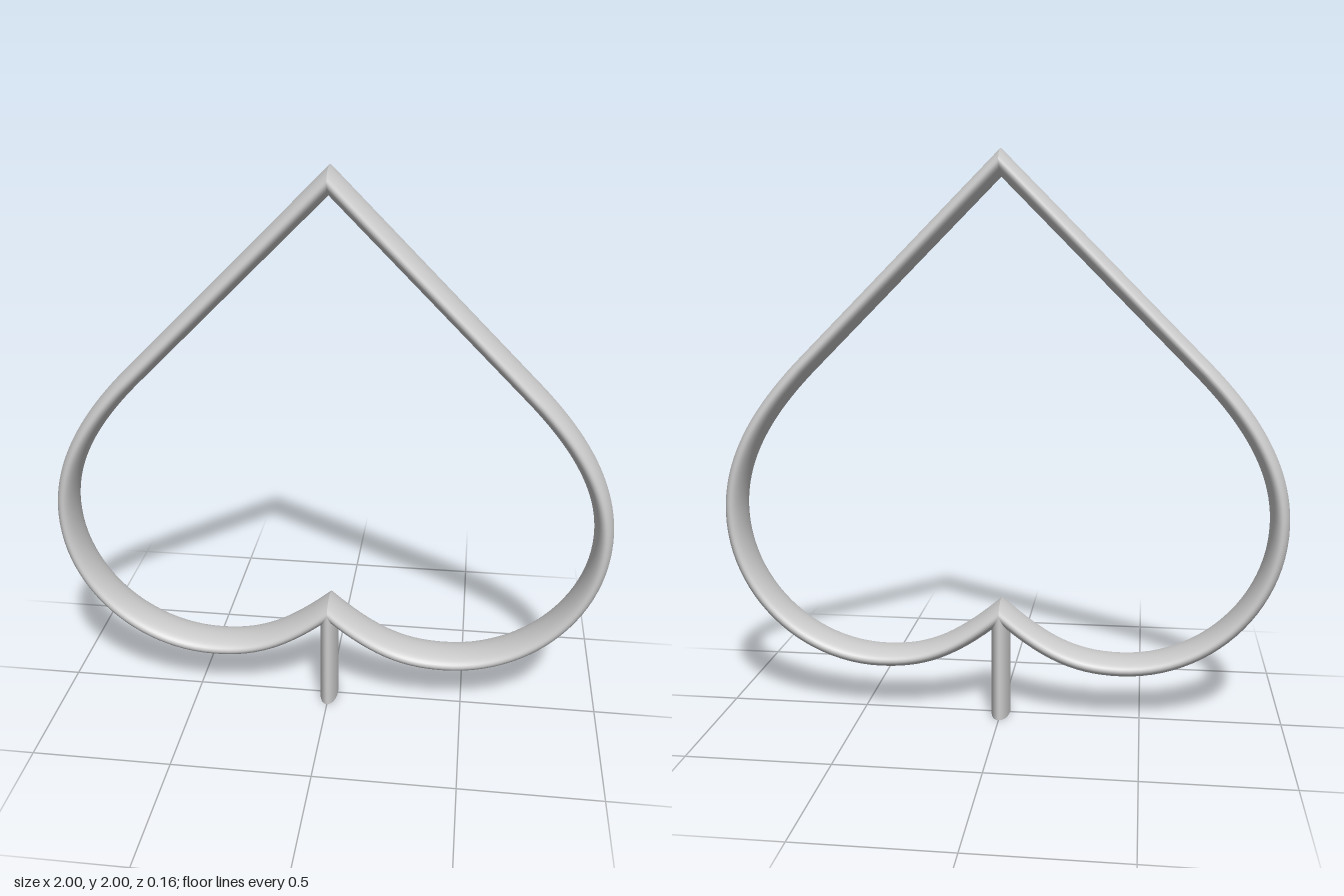
import * as THREE from 'three';

const HALF_WIDTH = 0.033; // half thickness of the band in the x-y plane
const HALF_DEPTH = 0.082; // half thickness of the band along z
const SIDES = 40;

// Centre line of one half of the outline, from lower notch to upper tip
function halfOutline() {
  const v = (x, y) => new THREE.Vector2(x, y);
  const bends = [
    new THREE.CubicBezierCurve(v(0, 0.385), v(0.17, 0.24), v(0.28, 0.2), v(0.43, 0.2)),
    new THREE.CubicBezierCurve(v(0.43, 0.2), v(0.725, 0.2), v(0.967, 0.44), v(0.967, 0.73)),
    new THREE.CubicBezierCurve(v(0.967, 0.73), v(0.967, 0.93), v(0.85, 1.1), v(0.7, 1.253)),
  ];
  const stations = [];
  bends.forEach((curve, k) => {
    const steps = k === 0 ? 14 : 24;
    for (let i = k === 0 ? 0 : 1; i <= steps; i++) {
      stations.push({ p: curve.getPoint(i / steps), t: curve.getTangent(i / steps) });
    }
  });
  // straight run up to the tip
  stations.push({ p: v(0, 1.953), t: v(-1, 1).normalize() });
  return stations;
}

// Sweep an oval section along the half outline; end rings are mitred onto x = 0
function bandGeometry(side) {
  const stations = halfOutline();
  const positions = [];
  const index = [];
  stations.forEach(({ p, t }, i) => {
    const isEnd = i === 0 || i === stations.length - 1;
    for (let j = 0; j < SIDES; j++) {
      const a = (j / SIDES) * Math.PI * 2;
      const off = Math.cos(a) * HALF_WIDTH;
      let x = p.x + t.y * off;
      let y = p.y - t.x * off;
      if (isEnd) {
        y -= (x / t.x) * t.y;
        x = 0;
      }
      positions.push(side * x, y, Math.sin(a) * HALF_DEPTH);
      if (i > 0) {
        const j2 = (j + 1) % SIDES;
        const a0 = (i - 1) * SIDES + j, b0 = (i - 1) * SIDES + j2;
        const a1 = i * SIDES + j, b1 = i * SIDES + j2;
        if (side > 0) index.push(a0, a1, b0, b0, a1, b1);
        else index.push(a0, b0, a1, b0, b1, a1);
      }
    }
  });
  const geometry = new THREE.BufferGeometry();
  geometry.setAttribute('position', new THREE.Float32BufferAttribute(positions, 3));
  geometry.setIndex(index);
  geometry.computeVertexNormals();
  return geometry;
}

export function createModel() {
  const group = new THREE.Group();
  group.name = 'spadeOutline';
  const material = new THREE.MeshStandardMaterial({ color: 0xcccccc, side: THREE.DoubleSide });

  // Two mirrored halves of the band
  for (const [side, name] of [[1, 'leftBand'], [-1, 'rightBand']]) {
    const band = new THREE.Mesh(bandGeometry(side), material);
    band.name = name;
    group.add(band);
  }

  // Oval stem below the notch
  const stemHeight = 0.385;
  const stemGeometry = new THREE.CylinderGeometry(1, 1, stemHeight, SIDES);
  stemGeometry.scale(HALF_WIDTH, 1, HALF_DEPTH);
  stemGeometry.translate(0, stemHeight / 2, 0);
  const stem = new THREE.Mesh(stemGeometry, material);
  stem.name = 'stem';
  group.add(stem);

  return group;
}
